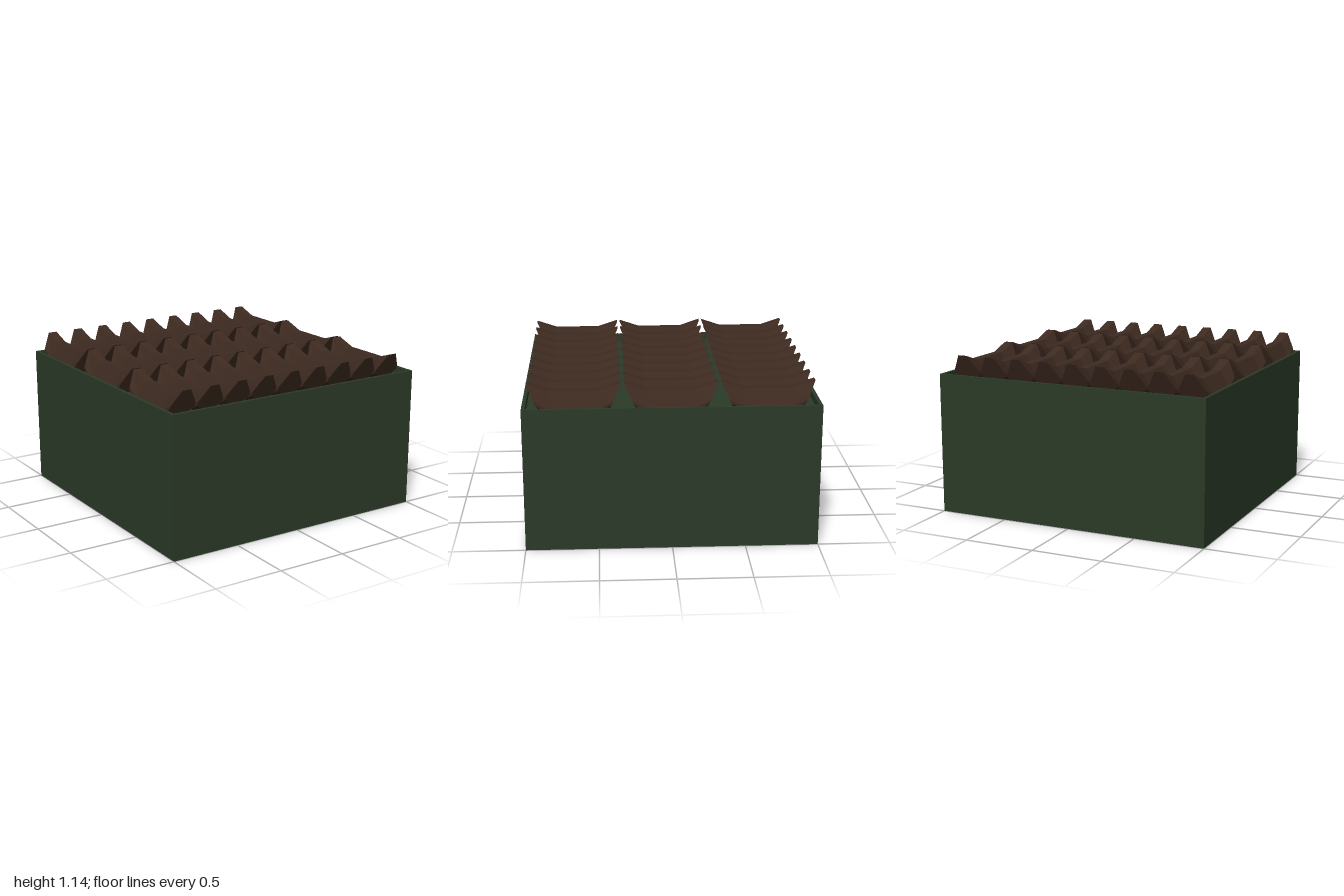
import * as THREE from 'three';

// Ridged loaf: an eight-sided section swept through four tilted rings, sagging in the middle
function ridgeGeometry() {
  // [half width, depth below the top edge]
  const half = [[0.032, 0], [0.096, 0.12], [0.096, 0.15], [0.05, 0.2]];
  const section = [...half, ...half.map(([x, d]) => [-x, d]).reverse()];
  // [z, y of the top edge, tilt]
  const rings = [[-0.316, 1.137, -0.447], [-0.166, 1.087, -0.16], [0.166, 1.087, 0.16], [0.316, 1.137, 0.447]];
  const n = section.length, pos = [], idx = [];
  for (const [z, y, t] of rings)
    for (const [x, d] of section) pos.push(x, y - d * Math.cos(t), z - d * Math.sin(t));
  // section runs clockwise seen from +z
  for (let r = 0; r < rings.length - 1; r++)
    for (let i = 0; i < n; i++) {
      const a = r * n + i, b = r * n + (i + 1) % n;
      idx.push(a, a + n, b, b, a + n, b + n);
    }
  const last = (rings.length - 1) * n;
  for (let i = 1; i < n - 1; i++) {
    idx.push(0, i, i + 1);
    idx.push(last, last + i + 1, last + i);
  }
  const g = new THREE.BufferGeometry();
  g.setAttribute('position', new THREE.Float32BufferAttribute(pos, 3));
  g.setIndex(idx);
  const flat = g.toNonIndexed();
  flat.computeVertexNormals();
  return flat;
}

function square(path, s) {
  return path.moveTo(-s, -s).lineTo(s, -s).lineTo(s, s).lineTo(-s, s).closePath();
}

export function createModel() {
  const model = new THREE.Group();
  model.name = 'plantedCrate';
  const green = new THREE.MeshStandardMaterial({ color: 0x2b3a28, flatShading: true });
  const brown = new THREE.MeshStandardMaterial({ color: 0x3d2a20, flatShading: true });
  const floorY = 0.95;

  // Solid block with a shallow tray on top
  const block = new THREE.Mesh(new THREE.BoxGeometry(2, floorY, 2), green);
  block.name = 'block';
  block.position.y = floorY / 2;
  model.add(block);

  // Thin raised rim
  const outline = square(new THREE.Shape(), 1);
  outline.holes.push(square(new THREE.Path(), 0.975));
  const rimGeometry = new THREE.ExtrudeGeometry(outline, { depth: 1 - floorY, bevelEnabled: false });
  rimGeometry.rotateX(-Math.PI / 2);
  const rim = new THREE.Mesh(rimGeometry, green);
  rim.name = 'rim';
  rim.position.y = floorY;
  model.add(rim);

  // Three rows of nine ridges
  const ridges = new THREE.Group();
  ridges.name = 'ridges';
  const geometry = ridgeGeometry();
  for (let row = 0; row < 3; row++)
    for (let col = 0; col < 9; col++) {
      const ridge = new THREE.Mesh(geometry, brown);
      ridge.name = 'ridge';
      ridge.position.set(-0.871 + col * 0.213, 0, 0.003 + (row - 1) * 0.651);
      ridges.add(ridge);
    }
  model.add(ridges);
  return model;
}
